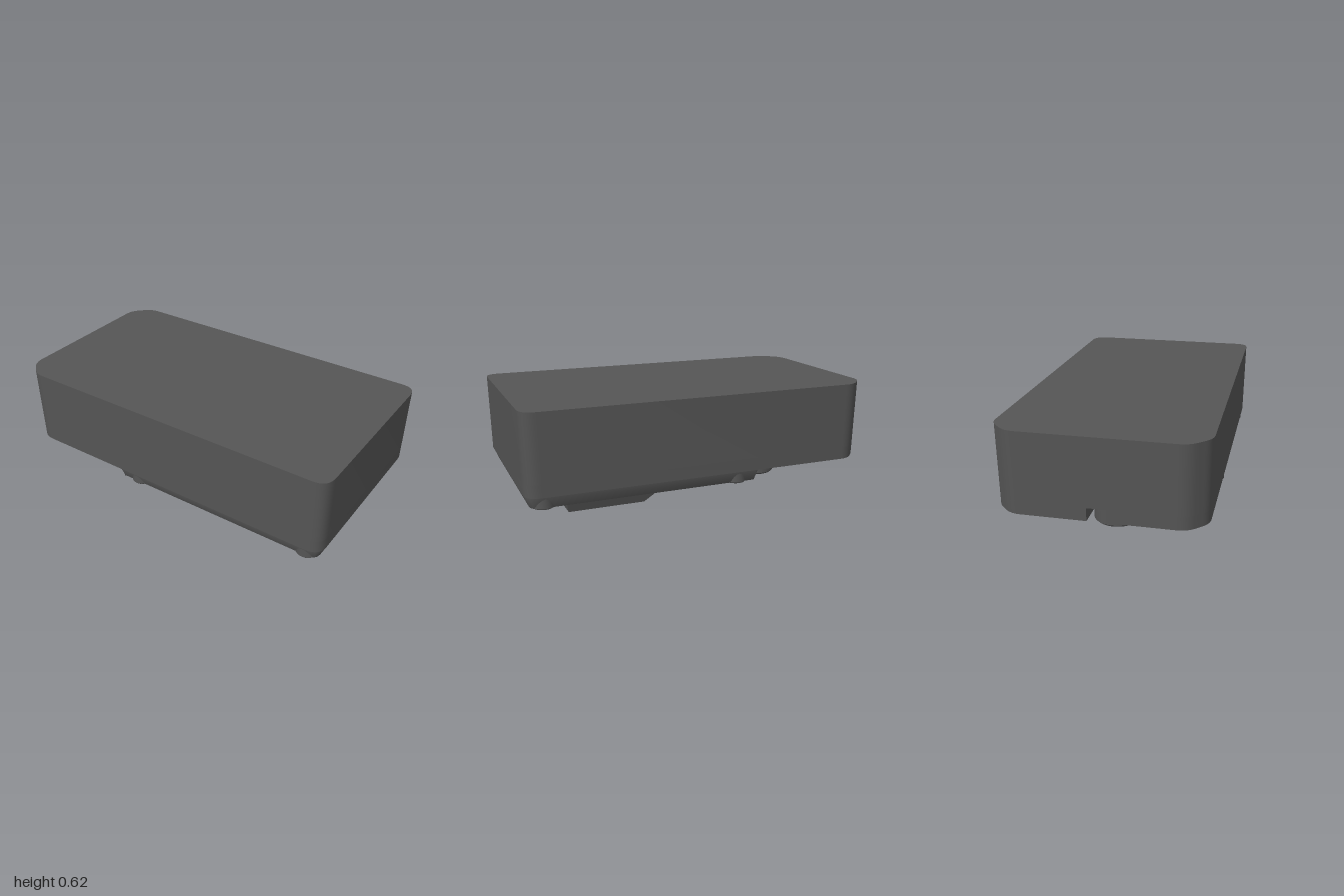
import * as THREE from 'three';
import { toCreasedNormals } from 'three/addons/utils/BufferGeometryUtils.js';

const material = new THREE.MeshStandardMaterial({ color: 0x555555 });

// Trace a closed polygon [x, z, cornerRadius] with rounded corners.
function roundedPath(points, path = new THREE.Shape()) {
  const n = points.length;
  points.forEach(([x, z, r], i) => {
    const p = new THREE.Vector2(x, z);
    const towards = ([qx, qz]) =>
      new THREE.Vector2(qx, qz).sub(p).setLength(r).add(p);
    const a = towards(points[(i + n - 1) % n]);
    const b = towards(points[(i + 1) % n]);
    if (i === 0) path.moveTo(a.x, a.y);
    else path.lineTo(a.x, a.y);
    if (r > 0) path.quadraticCurveTo(x, z, b.x, b.y);
  });
  path.closePath();
  return path;
}

// Extrude a plan outline downwards from y = top.
function slab(shape, top, depth, options = {}) {
  const geo = new THREE.ExtrudeGeometry(shape, {
    depth, bevelEnabled: false, curveSegments: 8, ...options,
  });
  return geo.rotateX(Math.PI / 2).translate(0, top, 0);
}

// Move every vertex by a rule.
function reshape(geo, rule) {
  const pos = geo.attributes.position;
  const v = new THREE.Vector3();
  for (let i = 0; i < pos.count; i++) {
    rule(v.fromBufferAttribute(pos, i));
    pos.setXYZ(i, v.x, v.y, v.z);
  }
  return geo;
}

function revolve(profile, segments) {
  return new THREE.LatheGeometry(profile.map(([r, y]) => new THREE.Vector2(r, y)), segments);
}

export function createModel() {
  const model = new THREE.Group();
  const add = (name, geo, x = 0, y = 0, z = 0) => {
    const mesh = new THREE.Mesh(toCreasedNormals(geo, 0.5), material);
    mesh.name = name;
    mesh.position.set(x, y, z);
    model.add(mesh);
  };

  // Body: rounded corners on one end, clipped corners on the other, slight draft
  const rightEnd = [[-0.9, -0.545, 0.05], [1, -0.545, 0.085], [1, 0.545, 0.085], [-0.9, 0.545, 0.05]];
  const clippedEnd = [[-1, 0.445, 0.05], [-1, -0.445, 0.05]];
  const slot = [[-1, 0.05, 0], [-0.8, 0.05, 0], [-0.8, -0.05, 0], [-1, -0.05, 0]];
  const draft = (v) => {
    const s = 1 - 0.01 * (0.625 - v.y) / 0.44;
    v.x *= s;
    v.z *= s;
  };
  const upper = roundedPath([...rightEnd, ...clippedEnd]);
  const lower = roundedPath([...rightEnd, clippedEnd[0], ...slot, clippedEnd[1]]);
  add('upperBody', reshape(slab(upper, 0.625, 0.37), draft));
  add('lowerBody', reshape(slab(lower, 0.255, 0.07), draft));

  // Base plate with two tabs, a cross rib and a recess beside the hump
  const plate = roundedPath([
    [-0.31, -0.535, 0.02], [0.988, -0.535, 0.085], [0.988, 0.535, 0.085], [-0.31, 0.535, 0.02],
    [-0.31, 0.42, 0.05], [-0.22, 0.34, 0.03], [-0.07, 0.34, 0],
    [-0.07, -0.34, 0], [-0.22, -0.34, 0.03], [-0.31, -0.42, 0.05],
  ]);
  plate.holes.push(roundedPath(
    [[0.01, -0.4, 0], [0.01, 0.4, 0], [0.5, 0.4, 0], [0.5, -0.4, 0]], new THREE.Path()));
  add('basePlate', slab(plate, 0.19, 0.005, {
    bevelEnabled: true, bevelThickness: 0.065, bevelSize: 0.027, bevelOffset: -0.027, bevelSegments: 1,
  }));

  // Sloped hump below the plate, narrowing downwards
  const side = new THREE.Shape([
    [0.126, 0.185], [0.32, 0.035], [0.742, 0.035], [0.775, 0.185],
  ].map(([x, y]) => new THREE.Vector2(x, y)));
  const hump = new THREE.ExtrudeGeometry(side, { depth: 0.8, bevelEnabled: false }).translate(0, 0, -0.4);
  add('hump', reshape(hump, (v) => { v.z *= 0.98 + 0.06 * (v.y - 0.035) / 0.085; }));
  add('humpPanel', new THREE.BoxGeometry(0.26, 0.004, 0.42), 0.55, 0.0345, 0);

  // Screw bosses with sunken holes
  for (const x of [-0.19, 0.89]) {
    for (const z of [-0.47, 0.47]) {
      add('screwBoss', revolve(
        [[0, 0.035], [0.03, 0.035], [0.03, 0], [0.055, 0], [0.06, 0.005], [0.06, 0.07]], 24), x, 0.117, z);
    }
  }

  // Round post with a blind hole, on a thin collar
  add('post', revolve(
    [[0, 0.06], [0.05, 0.06], [0.05, 0], [0.12, 0], [0.13, 0.01], [0.13, 0.19]], 40), -0.555, 0, 0);
  add('postCollar', new THREE.CylinderGeometry(0.222, 0.222, 0.012, 48), -0.555, 0.184, 0);

  return model;
}
